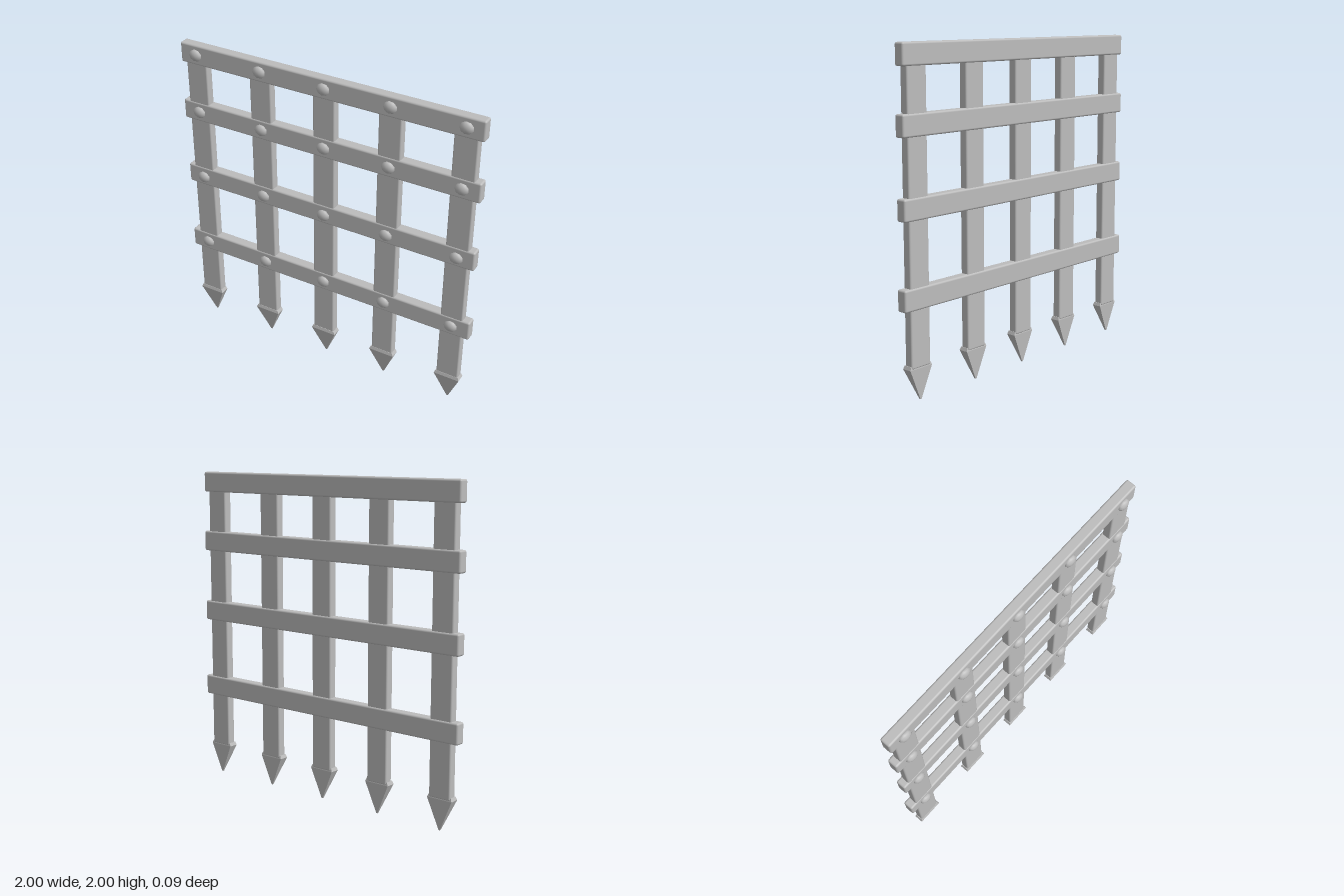
import * as THREE from 'three';
import { RoundedBoxGeometry } from 'three/addons/geometries/RoundedBoxGeometry.js';

const iron = new THREE.MeshStandardMaterial({ color: 0xbcbcbc });
iron.name = 'iron grey';

const postX = [-0.88, -0.43, 0, 0.425, 0.88];
const rails = [ // centre height, length, rivet height
  { y: 1.937, length: 1.975, rivetY: 1.937 },
  { y: 1.555, length: 1.985, rivetY: 1.555 },
  { y: 1.095, length: 1.985, rivetY: 1.09 },
  { y: 0.59, length: 2.0, rivetY: 0.59 },
];

function addMesh(group, name, geometry, x, y, z) {
  const mesh = new THREE.Mesh(geometry, iron);
  mesh.name = name;
  mesh.position.set(x, y, z);
  group.add(mesh);
  return mesh;
}

// Four-sided point with a bevelled shoulder, tip leaning to the back
function spikeGeometry() {
  const box = new THREE.BoxGeometry(2, 2, 2, 1, 2, 1);
  const p = box.attributes.position;
  const rings = [ // y, half width, back z, front z
    [0, 0.004, -0.031, -0.022],
    [0.187, 0.084, -0.038, 0.022],
    [0.207, 0.076, -0.034, 0.017],
  ];
  for (let i = 0; i < p.count; i++) {
    const [y, w, back, front] = rings[Math.round(p.getY(i)) + 1];
    p.setXYZ(i, Math.sign(p.getX(i)) * w, y, p.getZ(i) > 0 ? front : back);
  }
  const flat = box.toNonIndexed();
  flat.computeVertexNormals();
  return flat;
}

// Domed rivet head facing the front
function rivetGeometry() {
  const dome = new THREE.SphereGeometry(1, 9, 4, 0, Math.PI * 2, 0, Math.PI / 2);
  dome.rotateX(Math.PI / 2);
  dome.scale(0.043, 0.038, 0.027);
  return dome;
}

export function createModel() {
  const model = new THREE.Group();
  model.name = 'spikedGate';

  // Upright bars and their spikes
  const postGeo = new RoundedBoxGeometry(0.145, 1.77, 0.055, 2, 0.01);
  const spikeGeo = spikeGeometry();
  for (const x of postX) {
    addMesh(model, 'uprightBar', postGeo, x, 1.075, -0.0125);
    addMesh(model, 'spike', spikeGeo, x, 0, 0);
  }

  // Cross rails with one rivet over each upright
  const rivetGeo = rivetGeometry();
  rails.forEach(({ y, length, rivetY }) => {
    const railGeo = new RoundedBoxGeometry(length, 0.128, 0.066, 2, 0.012);
    addMesh(model, 'crossRail', railGeo, 0, y, -0.014);
    for (const x of postX) addMesh(model, 'rivet', rivetGeo, x, rivetY, 0.018);
  });
  return model;
}
